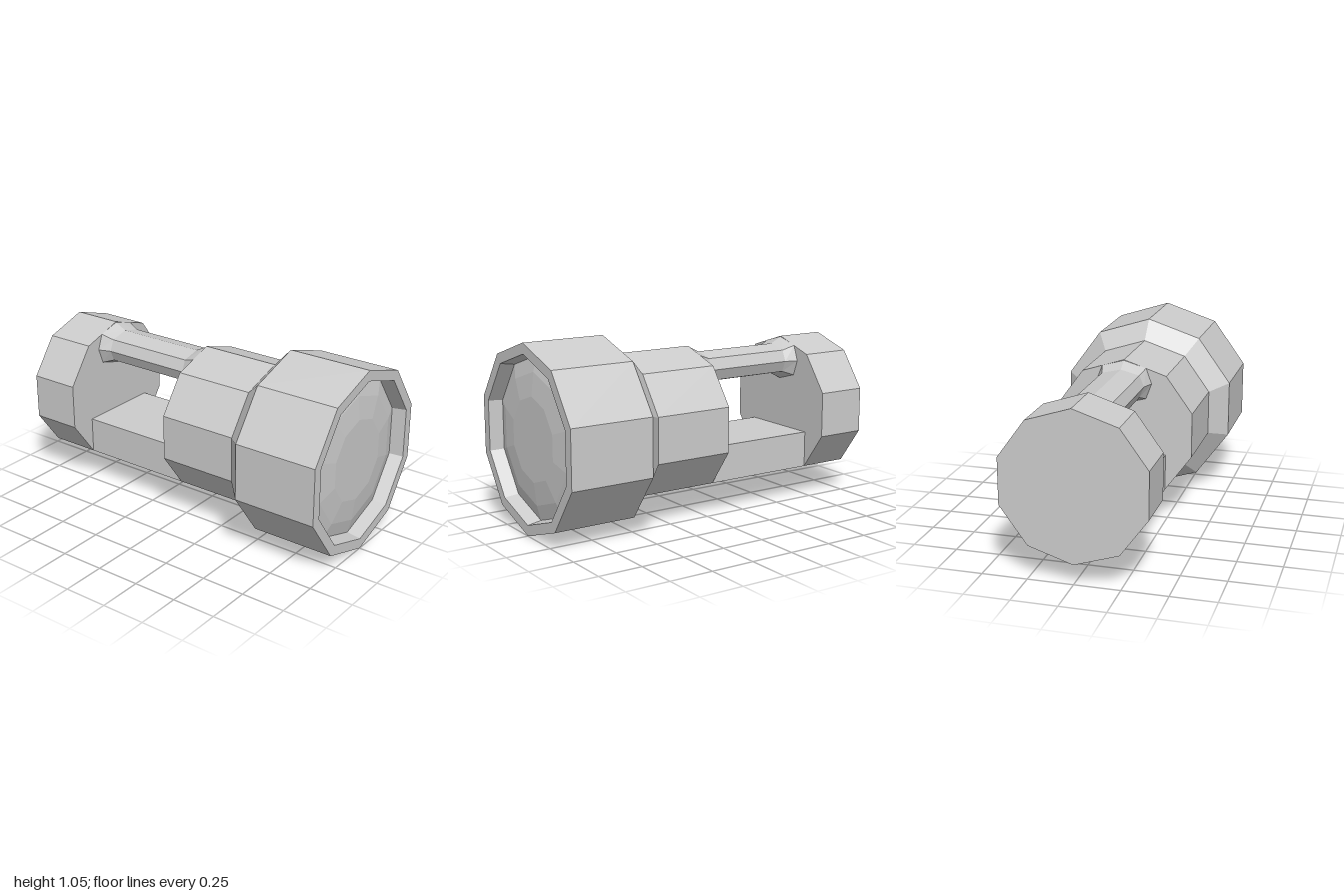
import * as THREE from 'three';

const CENTER_Y = 0.524;   // height of the main axis
const HEAD_R = 0.524;
const BODY_R = 0.415;
const CUT_BACK = -0.71, CUT_FRONT = -0.04;

const material = new THREE.MeshStandardMaterial({ color: 0xcccccc, flatShading: true });

function addMesh(group, name, geometry) {
  const flat = geometry.index ? geometry.toNonIndexed() : geometry;
  flat.computeVertexNormals();
  const mesh = new THREE.Mesh(flat, material);
  mesh.name = name;
  group.add(mesh);
  return mesh;
}

// Faceted solid turned about the z axis; profile is [radius, z], back to front
function turned(profile, sides) {
  const points = profile.map(([r, z]) => new THREE.Vector2(r, z));
  return new THREE.LatheGeometry(points, sides).rotateX(Math.PI / 2);
}

export function createModel() {
  const group = new THREE.Group();
  group.name = 'flashlight';

  // Front body, flared head and recessed rim
  addMesh(group, 'head', turned([
    [0, CUT_FRONT], [BODY_R, CUT_FRONT], [BODY_R, 0.42],
    [HEAD_R, 0.52], [HEAD_R, 1], [0.464, 1], [0.45, 0.92],
  ], 10)).position.y = CENTER_Y;

  // Shallow domed lens inside the rim
  addMesh(group, 'lens', turned([
    [0.45, 0.92], [0.365, 0.942], [0.235, 0.957], [0, 0.957],
  ], 10)).position.y = CENTER_Y;

  // End block behind the hand opening
  addMesh(group, 'endBlock', turned([
    [0, -1], [BODY_R, -1], [BODY_R, CUT_BACK], [0, CUT_BACK],
  ], 10)).position.y = CENTER_Y;

  // Lower bridge under the hand opening
  const bridge = new THREE.Shape([
    [0, 0.109], [0.244, 0.188], [0.244, 0.396], [-0.244, 0.396], [-0.244, 0.188],
  ].map(([x, y]) => new THREE.Vector2(x, y)));
  addMesh(group, 'lowerBridge', new THREE.ExtrudeGeometry(bridge, {
    depth: CUT_FRONT - CUT_BACK, bevelEnabled: false,
  })).position.z = CUT_BACK;

  // Eight-sided grip with flared ends, widened sideways
  const grip = turned([
    [0.125, CUT_BACK], [0.09, -0.64], [0.09, -0.11], [0.125, CUT_FRONT],
  ], 8);
  const pos = grip.attributes.position;
  for (let i = 0; i < pos.count; i++) {
    const x = pos.getX(i), r = Math.hypot(x, pos.getY(i));
    const halfWidth = r > 0.1 ? 0.16 : 0.135;
    const t = Math.abs(x) / r;
    pos.setX(i, t < 0.01 ? 0 : Math.sign(x) * halfWidth * Math.pow(t, 0.65));
  }
  addMesh(group, 'grip', grip).position.y = 0.81;

  return group;
}
